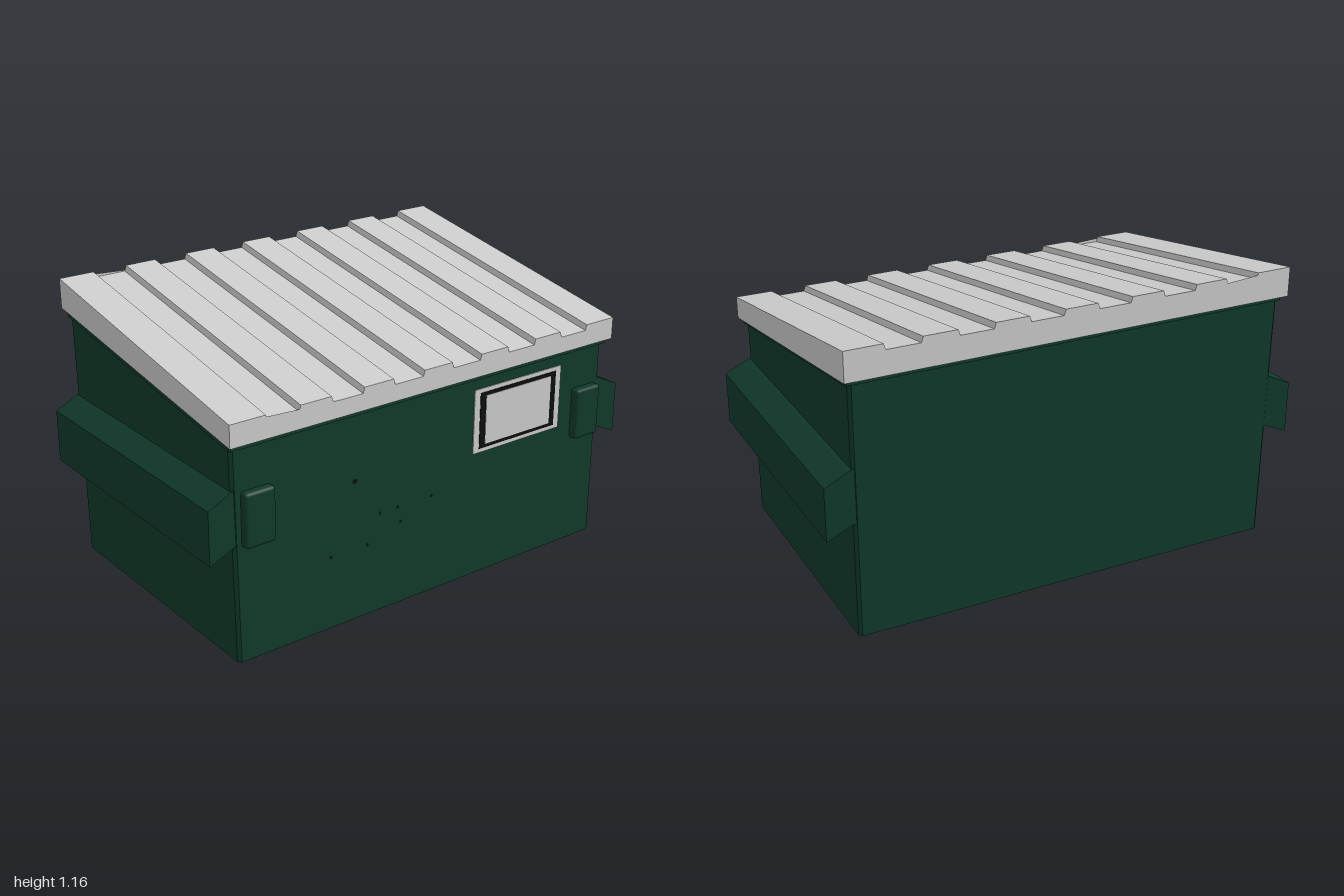
import * as THREE from 'three';
import { RoundedBoxGeometry } from 'three/addons/geometries/RoundedBoxGeometry.js';

const green = new THREE.MeshStandardMaterial({ color: 0x103a2b });
const grey = new THREE.MeshStandardMaterial({ color: 0xcccccc });
const black = new THREE.MeshStandardMaterial({ color: 0x0c0e0e });

// Sloping lines across the width: body top / lid underside, and lid ridge tops
const seatY = (x) => 1.045 - 0.15 * (x + 0.605);
const ridgeY = (x) => 1.165 - 0.175 * (x + 0.605);

function add(parent, name, geometry, material) {
  const mesh = new THREE.Mesh(geometry, material);
  mesh.name = name;
  parent.add(mesh);
  return mesh;
}

// Move every vertex by a rule, then refresh the flat normals
function reshape(geometry, rule) {
  const p = geometry.attributes.position;
  const v = new THREE.Vector3();
  for (let i = 0; i < p.count; i++) {
    rule(v.fromBufferAttribute(p, i));
    p.setXYZ(i, v.x, v.y, v.z);
  }
  geometry.computeVertexNormals();
  return geometry;
}

// Upright unit-high prism over a rectangle with chamfered corners
function chamferedPrism(x0, x1, z0, z1, c) {
  const shape = new THREE.Shape([
    [x0 + c, -z1], [x1 - c, -z1], [x1, -z1 + c], [x1, -z0 - c],
    [x1 - c, -z0], [x0 + c, -z0], [x0, -z0 - c], [x0, -z1 + c],
  ].map(([x, y]) => new THREE.Vector2(x, y)));
  return new THREE.ExtrudeGeometry(shape, { depth: 1, bevelEnabled: false }).rotateX(-Math.PI / 2);
}

// Profile in (z, y) extruded along x from x0 to x1
function extrudeAlongX(points, x0, x1) {
  const shape = new THREE.Shape(points.map(([z, y]) => new THREE.Vector2(-z, y)));
  return new THREE.ExtrudeGeometry(shape, { depth: x1 - x0, bevelEnabled: false })
    .rotateY(Math.PI / 2).translate(x0, 0, 0);
}

export function createModel() {
  const model = new THREE.Group();
  model.name = 'dumpster';

  // Body with a sloping top; the +z end leans out slightly
  add(model, 'body', reshape(chamferedPrism(-0.562, 0.57, -0.893, 0.893, 0.012), (v) => {
    if (v.z > 0) v.z += 0.014 * v.y;
    v.y *= seatY(v.x) - 0.012;
  }), green);

  // Rim under the lid
  add(model, 'rim', reshape(chamferedPrism(-0.572, 0.582, -0.906, 0.915, 0.005), (v) => {
    v.y = seatY(v.x) - 0.002 - (1 - v.y) * 0.019;
  }), green);

  // Corrugated lid: seven ridges with six shallow valleys between them
  const lidProfile = [[0.922, 0], [0.922, 1]];
  for (let i = 0; i < 6; i++) {
    const z = 0.7 - i * 0.28;
    lidProfile.push([z + 0.073, 1], [z + 0.066, 0.977], [z - 0.066, 0.977], [z - 0.073, 1]);
  }
  lidProfile.push([-0.922, 1], [-0.922, 0]);
  add(model, 'lid', reshape(extrudeAlongX(lidProfile, -0.605, 0.597), (v) => {
    v.y = v.y < 0.5 ? seatY(v.x) : ridgeY(v.x) + v.y - 1;
  }), grey);

  // Fork sleeve across each end, and a rounded plate beside it
  for (const s of [1, -1]) {
    const end = s > 0 ? 'front' : 'back';
    const sleeve = [[0.88, 0.695], [0.905, 0.688], [1, 0.642], [1, 0.427], [0.9, 0.472], [0.88, 0.472]];
    add(model, end + 'ForkSleeve', extrudeAlongX(sleeve.map(([z, y]) => [s * z, y]), -0.56, 0.568), green);
    add(model, end + 'Plate', new RoundedBoxGeometry(0.06, 0.216, 0.13, 3, 0.014), green)
      .position.set(s > 0 ? 0.572 : 0.575, 0.572, s * 0.803);
  }

  // Blank notice panel: light board, dark frame, light centre
  const notice = new THREE.Group();
  notice.name = 'notice';
  notice.position.set(0.57, 0.666, -0.436);
  model.add(notice);
  add(notice, 'noticeBoard', new THREE.BoxGeometry(0.008, 0.268, 0.458), grey);
  add(notice, 'noticeFrame', new THREE.BoxGeometry(0.012, 0.234, 0.4), black);
  add(notice, 'noticeCentre', new THREE.BoxGeometry(0.016, 0.204, 0.344), grey);

  // Small dark pits on the +x side
  const pits = [[0.37, 0.58], [0.25, 0.415], [0.165, 0.415], [0, 0.415], [0.15, 0.35], [0.48, 0.3], [0.31, 0.3]];
  pits.forEach(([z, y], i) => {
    add(model, 'pit', new THREE.CircleGeometry(i ? 0.007 : 0.011, 8).rotateY(Math.PI / 2), black)
      .position.set(0.5715, y, z);
  });

  return model;
}
